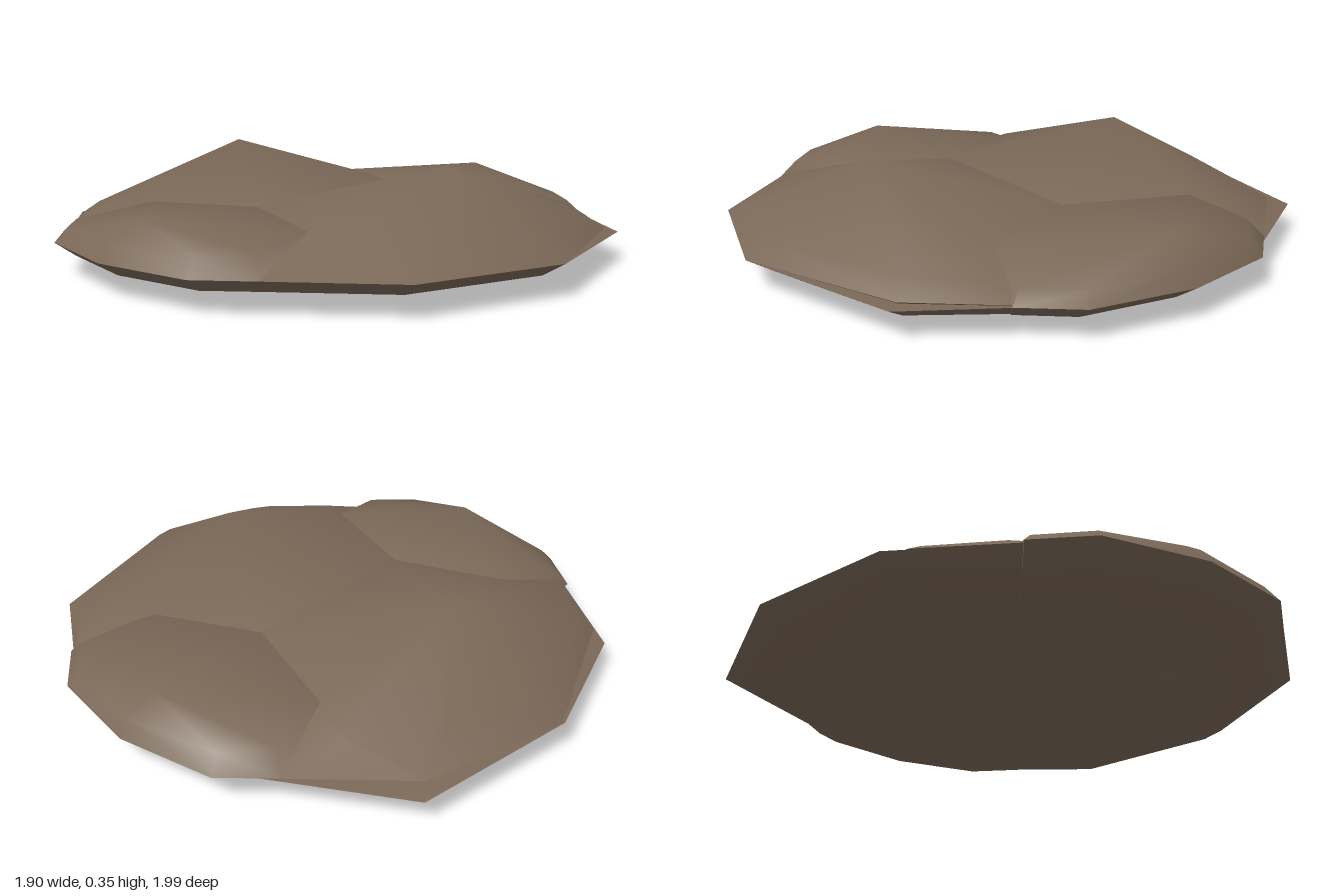
import * as THREE from 'three';
import { toCreasedNormals } from 'three/addons/utils/BufferGeometryUtils.js';
import { ConvexGeometry } from 'three/addons/geometries/ConvexGeometry.js';

// Shallow underside below a rim: rim points are [x, z] or [x, z, y]
function withUnderside(rim, top) {
  const pts = top.map((p) => new THREE.Vector3(...p));
  for (const [x, z, y = 0.11] of rim) {
    pts.push(new THREE.Vector3(x, y, z));
    pts.push(new THREE.Vector3(x * 0.93, 0.06, z * 0.91));
    pts.push(new THREE.Vector3(x * 0.6, 0.025, z * 0.6));
  }
  pts.push(new THREE.Vector3(0, 0.004, 0));
  return pts;
}

export function createModel() {
  const group = new THREE.Group();
  const stone = new THREE.MeshStandardMaterial({ color: 0x7a6857 });
  stone.name = 'brown stone';

  function addRock(name, points) {
    const mesh = new THREE.Mesh(toCreasedNormals(new ConvexGeometry(points), 0.9), stone);
    mesh.name = name;
    group.add(mesh);
  }

  // Peaked half and low shoulder, each repeated by a half turn
  const peak = withUnderside(
    [[-0.4, 0.86], [0, 0.99], [0.5, 0.85], [0.86, 0.38], [0.91, 0.02]],
    [
      [0.27, 0.355, 0.47],
      [-0.22, 0.2, 0.65], [-0.3, 0.2, 0.21],
      [0.3, 0.2, -0.15], [0.62, 0.19, 0.1],
      [-0.2, 0.172, 0.8], [0.1, 0.168, 0.87], [0.46, 0.155, 0.8],
      [0.8, 0.155, 0.35], [0.85, 0.15, 0.1],
    ],
  );
  const shoulder = withUnderside(
    [[-0.4, 0.86], [-0.59, 0.8], [-0.82, 0.54], [-0.95, 0.21], [-0.92, 0.0]],
    [
      [-0.7, 0.232, 0.5],
      [-0.22, 0.2, 0.65], [-0.3, 0.2, 0.21], [-0.62, 0.19, -0.04],
      [-0.4, 0.172, 0.8], [-0.57, 0.17, 0.76],
      [-0.79, 0.165, 0.52], [-0.91, 0.15, 0.21], [-0.88, 0.15, 0.02],
    ],
  );
  const halfTurn = (pts) => pts.map((p) => new THREE.Vector3(-p.x, p.y, 0.06 - p.z));

  addRock('frontPeak', peak);
  addRock('backPeak', halfTurn(peak));
  addRock('frontShoulder', shoulder);
  addRock('backShoulder', halfTurn(shoulder));

  // Broad slab under the rocks, with its corners showing past them
  addRock('baseSlab', withUnderside(
    [
      [0.03, -1, 0.095], [0.4, -0.79], [0.57, -0.72], [0.82, -0.46], [0.92, -0.13],
      [0.9, 0.4, 0.1], [0.5, 0.85], [0, 0.97], [-0.57, 0.78], [-0.8, 0.52],
      [-0.93, 0.2], [-0.86, -0.4, 0.1], [-0.51, -0.79],
    ],
    [[0, 0.15, 0.03]],
  ));

  return group;
}
